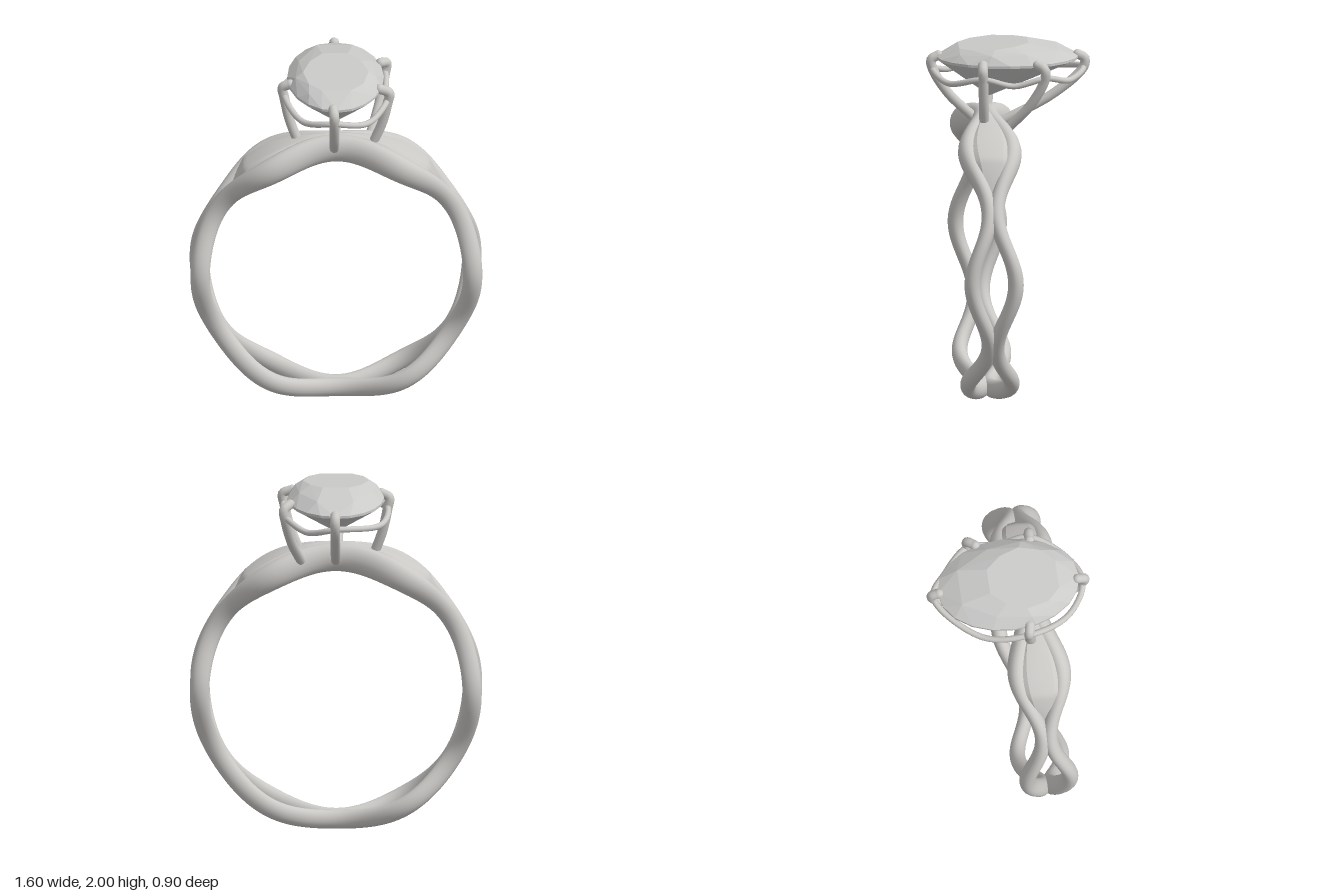
import * as THREE from 'three';
import { toCreasedNormals } from 'three/addons/utils/BufferGeometryUtils.js';
import { ConvexGeometry } from 'three/addons/geometries/ConvexGeometry.js';

const CY = 0.8, CZ = 0.12, R = 0.747;
const rad = THREE.MathUtils.degToRad;

// Half distance between the two strands at an angle round the band
const offset = (t) => 0.07 + 0.05 * Math.cos(6 * t);

// Point on the band from angle, radius and depth
const bandPoint = (t, r, z) => [r * Math.cos(t), CY + r * Math.sin(t), CZ + z];

// Surface from rings of points; each ring is closed, the row of rings optionally so
function loft(rings, closed) {
  const n = rings.length, m = rings[0].length, index = [];
  for (let i = 0; i < (closed ? n : n - 1); i++) {
    for (let j = 0; j < m; j++) {
      const a = i * m + j, b = ((i + 1) % n) * m + j;
      const c = ((i + 1) % n) * m + (j + 1) % m, d = i * m + (j + 1) % m;
      index.push(a, b, c, a, c, d);
    }
  }
  const g = new THREE.BufferGeometry();
  g.setAttribute('position', new THREE.Float32BufferAttribute(rings.flat(2), 3));
  g.setIndex(index);
  g.computeVertexNormals();
  return g;
}

// One wavy strand, thicker towards the top of the band
function strand(side) {
  const rings = [];
  for (let i = 0; i < 180; i++) {
    const t = (i / 180) * Math.PI * 2;
    const top = THREE.MathUtils.smoothstep(Math.sin(t), 0.6, 1);
    const a = 0.053 + 0.027 * top, b = 0.043 + 0.015 * top, ring = [];
    for (let j = 0; j < 18; j++) {
      const p = (j / 18) * Math.PI * 2;
      ring.push(bandPoint(t, R + a * Math.cos(p), side * offset(t) + b * Math.sin(p)));
    }
    rings.push(ring);
  }
  return loft(rings, true);
}

// Solid shoulder filling the gap between the strands, pointed at its lower end
function shoulder(from, to) {
  const rings = [], steps = 40;
  for (let i = 0; i <= steps; i++) {
    const deg = from + ((to - from) * i) / steps;
    const e = Math.min(deg, 180 - deg), t = rad(deg);
    const k = THREE.MathUtils.clamp((e - 39) / 13, 0, 1);
    const ro = 0.745 + 0.078 * k, ri = 0.745 - 0.047 * k, w = offset(t);
    ring6(rings, t, ro, ri, w);
  }
  return toCreasedNormals(loft(rings, false), 0.4);
}
function ring6(rings, t, ro, ri, w) {
  const section = [[ro + 0.006, 0], [ro, w * 0.6], [ro - 0.03, w], [ri, w], [ri, -w], [ro - 0.03, -w], [ro, -w * 0.6]];
  rings.push(section.map(([r, z]) => bandPoint(t, r, z)));
}

// Oval faceted stone with a slightly tilted table
function stoneGeometry() {
  const pts = [new THREE.Vector3(0, 1.69, 0.1)];
  for (let i = 0; i < 20; i++) {
    const a = (i / 20) * Math.PI * 2;
    const x = 0.265 * Math.sin(a), z = 0.39 * Math.cos(a);
    pts.push(new THREE.Vector3(x, 1.9, z), new THREE.Vector3(x, 1.914, z));
  }
  const table = [[0.08, 0.27], [0.15, 0.2], [0.18, 0.08], [0.14, -0.03], [0.07, -0.11]];
  const crown = [[0.1, 1.964, -0.27], [0.2, 1.964, -0.09], [0.222, 1.962, 0.1], [0.15, 1.955, 0.27]];
  for (const s of [-1, 1]) {
    for (const [x, z] of table) pts.push(new THREE.Vector3(s * x, 1.975 + (0.27 - z) * 0.066, z));
    for (const [x, y, z] of crown) pts.push(new THREE.Vector3(s * x, y, z));
  }
  return new ConvexGeometry(pts);
}

const curve = (points, closed = false) =>
  new THREE.CatmullRomCurve3(points.map((p) => new THREE.Vector3(...p)), closed);

export function createModel() {
  const model = new THREE.Group();
  const metal = new THREE.MeshStandardMaterial({ color: 0xcbc9c6 });
  metal.name = 'polished metal';
  const gem = new THREE.MeshStandardMaterial({ color: 0xcacac9 });
  gem.name = 'stone grey';
  const add = (name, geometry, material = metal, parent = model) => {
    const mesh = new THREE.Mesh(geometry, material);
    mesh.name = name;
    parent.add(mesh);
    return mesh;
  };

  // Band
  add('frontStrand', strand(1));
  add('backStrand', strand(-1));
  add('leftShoulder', shoulder(39, 89));
  add('rightShoulder', shoulder(141, 91).scale(1, 1, 1));
  // The right shoulder is the mirror of the left, turned about the band's axis
  const right = model.getObjectByName('rightShoulder');
  right.geometry = shoulder(39, 89).rotateY(Math.PI).translate(0, 0, 2 * CZ);

  // Stone
  add('stone', stoneGeometry(), gem);

  // Prongs: base, widest point and claw tip
  const prongs = [
    ['backProng', [0, 1.55, 0.02], [0, 1.84, -0.415], [0, 1.916, -0.385]],
    ['leftBackProng', [0.19, 1.55, 0.01], [0.275, 1.83, -0.185], [0.25, 1.916, -0.15]],
    ['leftFrontProng', [0.2, 1.57, 0.14], [0.283, 1.83, 0.15], [0.24, 1.916, 0.15]],
    ['frontProng', [-0.01, 1.57, 0.19], [-0.015, 1.84, 0.41], [-0.02, 1.916, 0.38]],
    ['rightProng', [-0.21, 1.57, 0.1], [-0.283, 1.83, 0.075], [-0.25, 1.916, 0.085]],
  ];
  for (const [name, base, wide, tip] of prongs) {
    const group = new THREE.Group();
    group.name = name;
    model.add(group);
    const [dx, dz] = [wide[0] - base[0], wide[2] - base[2]];
    const belly = [base[0] + dx * 0.62, base[1] + (wide[1] - base[1]) * 0.5, base[2] + dz * 0.62];
    const bend = [wide[0] * 1.03, 1.893, wide[2] * 1.02];
    add('prongWire', new THREE.TubeGeometry(curve([base, belly, wide, bend, tip]), 40, 0.027, 12), metal, group);
    const cap = add('clawTip', new THREE.SphereGeometry(0.027, 16, 12), metal, group);
    cap.position.set(...tip);
  }

  // Wavy gallery wire joining the prongs, dipping between them
  const wire = [
    [0, 1.845, -0.415], [0.15, 1.805, -0.33], [0.27, 1.845, -0.19], [0.275, 1.805, -0.02],
    [0.283, 1.845, 0.15], [0.17, 1.8, 0.33], [-0.015, 1.84, 0.41], [-0.18, 1.8, 0.31],
    [-0.283, 1.84, 0.075], [-0.245, 1.805, -0.18],
  ];
  add('galleryWire', new THREE.TubeGeometry(curve(wire, true), 120, 0.017, 10, true));

  return model;
}
